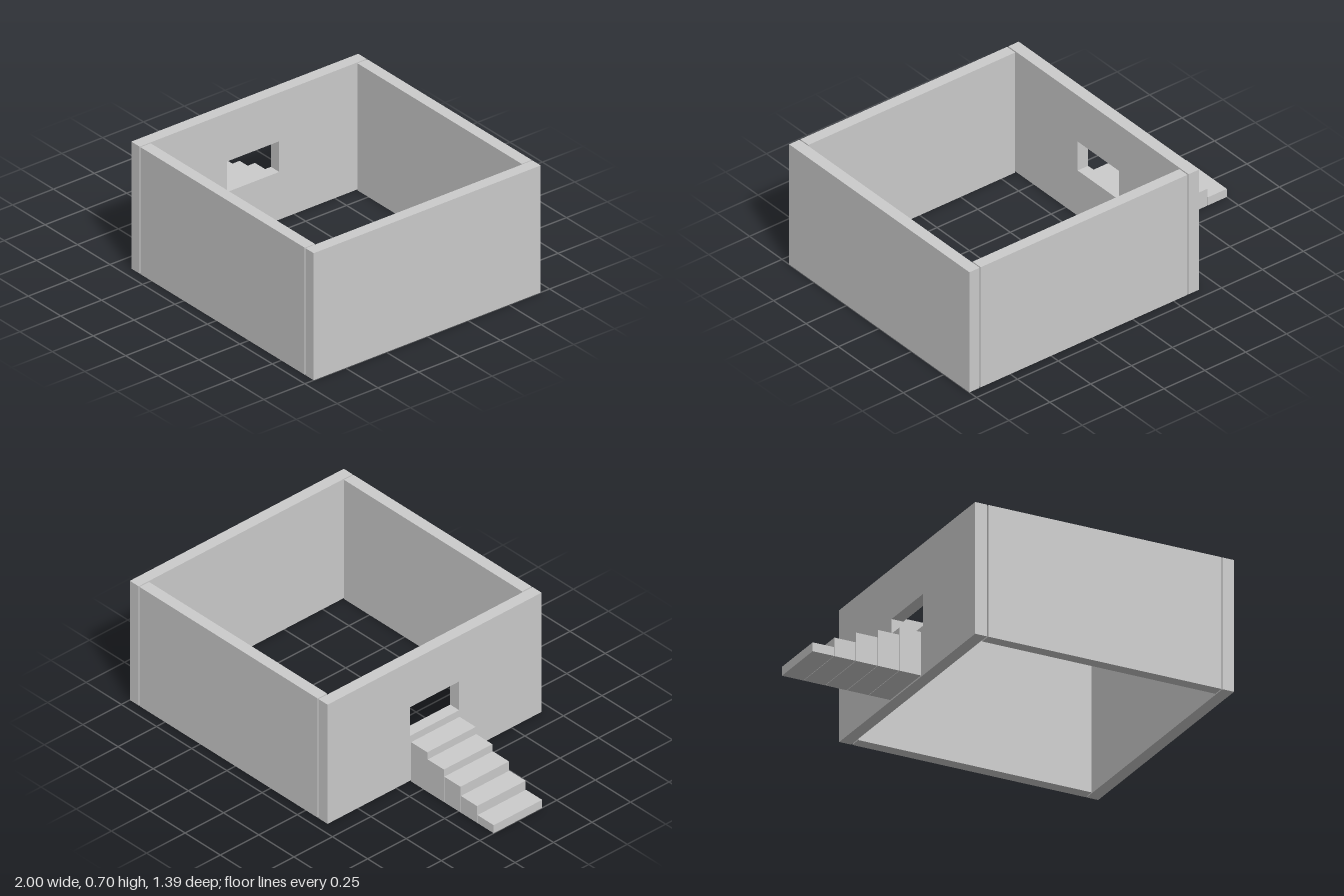
import * as THREE from 'three';

const material = new THREE.MeshStandardMaterial({ color: 0xcccccc, flatShading: true });

// Box given by its lower and upper corners
function block(name, [x0, y0, z0], [x1, y1, z1]) {
  const mesh = new THREE.Mesh(new THREE.BoxGeometry(x1 - x0, y1 - y0, z1 - z0), material);
  mesh.name = name;
  mesh.position.set((x0 + x1) / 2, (y0 + y1) / 2, (z0 + z1) / 2);
  return mesh;
}

export function createModel() {
  const group = new THREE.Group();
  group.name = 'roofless room with steps';
  const H = 0.697, D = 0.695, T = 0.062;

  // Three plain walls, with hairline seams at the corners
  group.add(block('leftWall', [0.937, 0, -D], [1, H, D]));
  group.add(block('frontWall', [-0.334, 0, D - T], [0.931, H, D]));
  group.add(block('backWall', [-0.334, 0, -D], [0.931, H, T - D]));

  // Wall with a doorway, drawn in the z-y plane and extruded along x
  const shape = new THREE.Shape();
  shape.moveTo(-D, 0).lineTo(D, 0).lineTo(D, H).lineTo(-D, H).closePath();
  const door = new THREE.Path();
  door.moveTo(-0.16, 0.262).lineTo(-0.16, 0.43).lineTo(0.16, 0.43).lineTo(0.16, 0.262).closePath();
  shape.holes.push(door);
  const geometry = new THREE.ExtrudeGeometry(shape, { depth: 0.064, bevelEnabled: false });
  geometry.rotateY(-Math.PI / 2);
  const doorWall = new THREE.Mesh(geometry, material);
  doorWall.name = 'doorWall';
  doorWall.position.x = -0.341;
  group.add(doorWall);

  // Solid steps rising to the doorway
  const steps = new THREE.Group();
  steps.name = 'steps';
  const run = 0.118;
  [0.047, 0.098, 0.15, 0.19, 0.23].forEach((height, i) => {
    const x = -1 + i * run;
    steps.add(block('step' + (i + 1), [x, 0, -0.16], [x + run - 0.003, height, 0.155]));
  });
  group.add(steps);
  return group;
}
